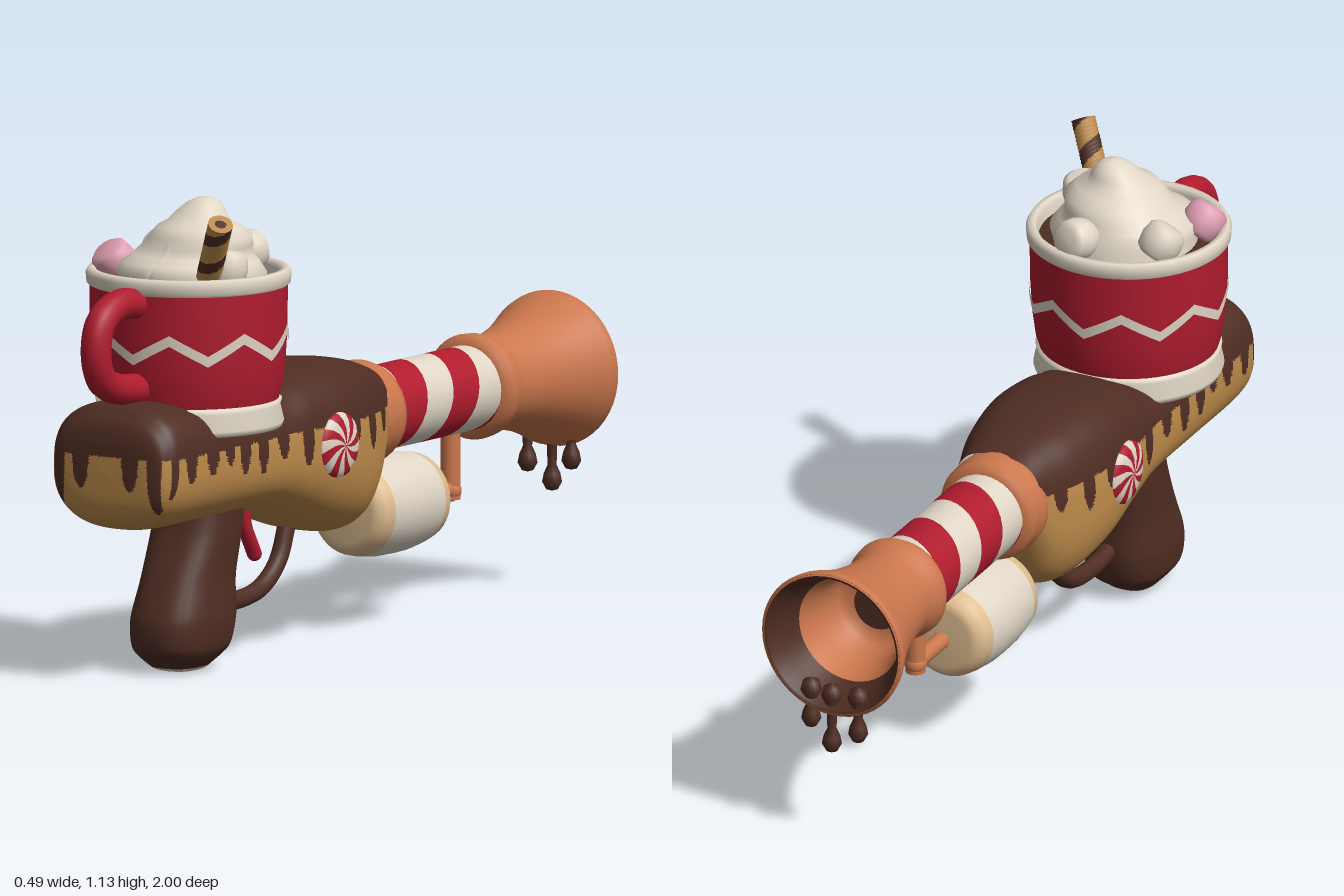
import * as THREE from 'three';

const material = (name, color) => Object.assign(new THREE.MeshStandardMaterial({ color }), { name });
const chocolate = material('chocolate', 0x4f2d23);
const biscuit = material('biscuit', 0xbc8a4a);
const red = material('candy red', 0xb01c2e);
const cream = material('cream', 0xe0d6c6);
const waffle = material('waffle', 0xcb774d);
const pink = material('pink', 0xdf9fb2);
const toasted = material('toasted', 0xdfbd90);

const TAU = Math.PI * 2;
const V = (x, y, z) => new THREE.Vector3(x, y, z);

function add(parent, name, geo, mat, x = 0, y = 0, z = 0) {
  const mesh = new THREE.Mesh(geo, mat);
  mesh.name = name;
  mesh.position.set(x, y, z);
  parent.add(mesh);
  return mesh;
}

// Smooth solid of revolution, profile given as [radius, height] from bottom to top
const lathe = (pts, seg = 40) => new THREE.LatheGeometry(pts.map(p => new THREE.Vector2(p[0], p[1])), seg);

// Same, but the profile runs from the body towards the muzzle (-z)
const barrelLathe = (pts, seg) => lathe(pts, seg).rotateX(-Math.PI / 2);

const tube = (pts, r, seg = 32) => new THREE.TubeGeometry(
  new THREE.CatmullRomCurve3(pts.map(p => V(...p))), seg, r, 14);

// Skin over closed rings; ring(i, angle) returns a point
function loft(rings, sides, ring) {
  const pos = [], idx = [];
  for (let i = 0; i < rings; i++) {
    for (let j = 0; j < sides; j++) {
      pos.push(...ring(i / (rings - 1), j / sides * TAU));
      if (i === rings - 1) continue;
      const a = i * sides + j, b = i * sides + (j + 1) % sides;
      idx.push(a, a + sides, b, b, a + sides, b + sides);
    }
  }
  const geo = new THREE.BufferGeometry();
  geo.setAttribute('position', new THREE.Float32BufferAttribute(pos, 3));
  geo.setIndex(idx);
  geo.computeVertexNormals();
  return geo;
}

// Sort faces into two material groups; test(centre, u) picks the second
function split(geo, test) {
  const idx = geo.index.array, p = geo.attributes.position, uv = geo.attributes.uv, sets = [[], []];
  for (let i = 0; i < idx.length; i += 3) {
    const t = [idx[i], idx[i + 1], idx[i + 2]], c = V(0, 0, 0);
    let u = 0;
    for (const k of t) {
      c.add(V(p.getX(k), p.getY(k), p.getZ(k)));
      if (uv) u += uv.getX(k) / 3;
    }
    sets[test(c.divideScalar(3), u) ? 1 : 0].push(...t);
  }
  geo.setIndex([...sets[0], ...sets[1]]);
  geo.clearGroups();
  geo.addGroup(0, sets[0].length, 0);
  geo.addGroup(sets[0].length, sets[1].length, 1);
  return geo;
}

// Turn every vertex about y by angle(y, radius)
function twist(geo, angle) {
  const p = geo.attributes.position;
  for (let i = 0; i < p.count; i++) {
    const x = p.getX(i), y = p.getY(i), z = p.getZ(i);
    const r = Math.hypot(x, z), a = Math.atan2(x, z) + angle(y, r);
    p.setXYZ(i, r * Math.sin(a), y, r * Math.cos(a));
  }
  geo.computeVertexNormals();
  return geo;
}

// Rounded-square outline point for an angle
function squircle(a, n) {
  const c = Math.cos(a), s = Math.sin(a);
  const r = Math.pow(Math.abs(c) ** n + Math.abs(s) ** n, -1 / n);
  return [c * r, s * r];
}

// Icing edge height; each drip is [place, half width, tip height]
const drips = [
  [1.0, .024, .475], [.935, .018, .42], [.885, .016, .46], [.82, .022, .49], [.73, .024, .5], [.655, .018, .515],
  [.59, .022, .485], [.51, .022, .475], [.42, .024, .5], [.32, .022, .47], [.23, .022, .5], [.12, .022, .5],
  [.03, .022, .475], [-.06, .02, .5],
];
function icingEdge(p) {
  const s = p.z > .89 ? .89 + .18 - Math.abs(p.x) : p.z;
  let y = .555;
  for (const [at, w, tip] of drips) {
    const d = Math.abs(s - at) / w;
    if (d < 1) y = Math.min(y, .555 - (.555 - tip) * Math.sqrt(1 - d * d));
  }
  return y;
}

function buildBody(g) {
  // Stations: z, top, bottom, half width
  const keys = [
    [.925, .515, .515, .001], [.92, .6, .43, .125], [.895, .65, .388, .165], [.83, .675, .37, .18],
    [.6, .66, .37, .18], [.4, .645, .365, .177], [.28, .675, .33, .183], [.15, .69, .285, .187],
    [.02, .68, .265, .168], [-.06, .665, .3, .14], [-.12, .645, .41, .115],
  ];
  const heights = new THREE.CatmullRomCurve3(keys.map(k => V(k[0], k[1], k[2])), false, 'catmullrom', .5);
  const widths = new THREE.CatmullRomCurve3(keys.map(k => V(k[0], k[3], 0)), false, 'catmullrom', .5);
  const body = loft(191, 160, (t, a) => {
    const h = heights.getPoint(t), w = widths.getPoint(t).y;
    const [x, y] = squircle(a, Math.sin(a) > 0 ? 2.8 : 2.5);
    return [x * w, (h.y + h.z) / 2 + y * (h.y - h.z) / 2, h.x];
  });
  add(g, 'icedBody', split(body, p => p.y > icingEdge(p)), [biscuit, chocolate]);

  // Grip stations: y, z front, z back, half width
  const grip = [[.42, .42, .61, .1], [.33, .43, .635, .1], [.22, .447, .69, .097], [.13, .45, .727, .105],
    [.06, .47, .725, .097], [.02, .52, .685, .065], [.005, .545, .655, .045], [.003, .6, .6, .001]];
  const spans = new THREE.CatmullRomCurve3(grip.map(k => V(k[0], k[1], k[2])), false, 'catmullrom', .4);
  const wide = new THREE.CatmullRomCurve3(grip.map(k => V(k[0], k[3], 0)), false, 'catmullrom', .4);
  const gripGeo = loft(50, 40, (t, a) => {
    const s = spans.getPoint(t), [x, z] = squircle(a, 2.6);
    return [x * wide.getPoint(t).y, Math.max(0, s.x), (s.y + s.z) / 2 - z * (s.z - s.y) / 2];
  });
  add(g, 'grip', split(gripGeo, p => p.y < .014), [chocolate, cream]);
  add(g, 'triggerGuard', tube([[0, .15, .48], [0, .138, .38], [0, .155, .26], [0, .21, .185], [0, .31, .14]], .022), chocolate);
  add(g, 'trigger', tube([[0, .38, .34], [0, .31, .325], [0, .265, .3], [0, .24, .285]], .018), red);
  add(g, 'triggerTip', new THREE.SphereGeometry(.018, 12, 8), red, 0, .24, .285);

  // Swirled peppermints on both sides
  for (const side of [1, -1]) {
    const dome = lathe([[.072, 0], [.079, .012], [.076, .022], [.06, .03], [.04, .034], [.02, .036], [0, .037]], 32);
    split(twist(dome, (y, r) => r * 7), (p, u) => Math.floor(u * 16) % 2);
    add(g, 'peppermint', dome.rotateZ(-side * Math.PI / 2), [cream, red], side * .166, .505, .195);
  }
}

function buildMug(g) {
  const mug = new THREE.Group();
  mug.name = 'mug';
  mug.position.z = .566;
  g.add(mug);
  add(mug, 'mugWall', lathe([[.212, .645], [.222, .68], [.23, .74], [.235, .82], [.236, .94]], 56), red);
  add(mug, 'mugBase', lathe([[0, .583], [.2, .583], [.222, .587], [.227, .6], [.218, .64], [.222, .652], [.205, .658]], 56), cream);
  add(mug, 'mugRim', lathe([[.234, .925], [.243, .932], [.245, .955], [.238, .967], [.225, .967], [.216, .955], [.213, .9]], 56), cream);
  add(mug, 'cocoa', new THREE.CircleGeometry(.216, 48).rotateX(-Math.PI / 2), chocolate, 0, .93, 0);

  // Zigzag band: an open ring moved up and down by a triangle wave
  const zigzag = new THREE.CylinderGeometry(.2385, .2375, .026, 128, 1, true);
  const p = zigzag.attributes.position, u = zigzag.attributes.uv;
  for (let i = 0; i < p.count; i++) {
    const wave = Math.abs((u.getX(i) * 8) % 1 - .5) * 2;
    p.setY(i, p.getY(i) + .822 - wave * .05);
  }
  add(mug, 'zigzagBand', zigzag, cream);
  add(mug, 'mugHandle', tube([[0, .905, .21], [0, .911, .31], [0, .875, .378], [0, .8, .395],
    [0, .74, .37], [0, .71, .3], [0, .7, .2]], .037, 40), red);

  // Whipped cream with a spiral ripple and leaning tip
  const whip = lathe([[.17, .92], [.178, .955], [.165, .985], [.142, 1.0], [.132, 1.02], [.122, 1.045], [.1, 1.067],
    [.075, 1.08], [.06, 1.1], [.04, 1.122], [.02, 1.132], [0, 1.135]], 48);
  const w = whip.attributes.position;
  for (let i = 0; i < w.count; i++) {
    const x = w.getX(i), y = w.getY(i), z = w.getZ(i);
    const k = 1 + .06 * Math.sin(Math.atan2(x, z) + y * 60);
    w.setXYZ(i, x * k + (y - .92) * .15, y, z * k - (y - .92) * .1);
  }
  whip.computeVertexNormals();
  add(mug, 'whippedCream', whip, cream);

  // Small marshmallows
  const puff = lathe([[0, -.042], [.033, -.041], [.047, -.03], [.052, 0], [.047, .03], [.033, .041], [0, .042]], 20);
  [[-.14, .99, -.106, cream], [.05, .985, -.175, cream], [.155, .985, .07, cream], [-.163, .975, .07, pink]]
    .forEach(([x, y, z, m], i) => add(mug, 'marshmallow', puff, m, x, y, z).rotation.set(.5 + i, i * .8, .4));

  // Striped wafer straw
  const straw = new THREE.Group();
  straw.name = 'waferStraw';
  const foot = V(.115, .93, .1), tip = V(.215, 1.11, .185), dir = tip.clone().sub(foot);
  straw.position.copy(foot).addScaledVector(dir, .5);
  straw.quaternion.setFromUnitVectors(V(0, 1, 0), dir.clone().normalize());
  const len = dir.length();
  const roll = twist(new THREE.CylinderGeometry(.03, .03, len, 24, 24, true), y => y * TAU / .09);
  add(straw, 'wafer', split(roll, (q, t) => t < .4), [biscuit, chocolate]);
  add(straw, 'waferEnd', new THREE.RingGeometry(.014, .03, 24).rotateX(-Math.PI / 2), biscuit, 0, len / 2, 0);
  add(straw, 'waferHole', new THREE.CircleGeometry(.016, 16).rotateX(-Math.PI / 2), chocolate, 0, len / 2 - .003, 0);
  mug.add(straw);
}

function buildBarrel(g) {
  const barrel = new THREE.Group();
  barrel.name = 'barrel';
  barrel.position.y = .522;
  g.add(barrel);

  // Candy cane tube
  const cane = twist(new THREE.CylinderGeometry(.102, .102, .46, 40, 60, true), y => TAU * (.06 - y) / .22);
  add(barrel, 'candyCane', split(cane, (p, u) => u < .5).rotateX(-Math.PI / 2), [cream, red], 0, 0, -.405);
  add(barrel, 'rearCollar', barrelLathe([[.09, .085], [.115, .09], [.126, .105], [.128, .13], [.122, .15],
    [.126, .17], [.12, .188], [.1, .193]]), waffle);
  add(barrel, 'muzzleBell', barrelLathe([[.1, .617], [.117, .622], [.127, .64], [.125, .665], [.115, .685], [.113, .71],
    [.122, .78], [.138, .85], [.162, .92], [.183, .97], [.187, .99], [.178, .995]], 48), waffle);
  add(barrel, 'muzzleIcing', barrelLathe([[.182, .993], [.172, .993], [.155, .95], [.134, .9]], 48), chocolate);
  add(barrel, 'muzzleInside', barrelLathe([[.134, .9], [.115, .84], [.1, .76], [.05, .755]], 48), waffle);
  add(barrel, 'muzzleHole', new THREE.CircleGeometry(.06, 24).rotateY(Math.PI), chocolate, 0, 0, -.757);

  // Icing drops hanging from the lip: x, top, length
  for (const [x, top, len] of [[.01, .365, .135], [.065, .37, .085], [-.06, .37, .1]]) {
    const drop = lathe([[0, -len], [.014, -len + .004], [.024, -len + .022], [.02, -len + .042],
      [.011, -len + .062], [.013, -.012], [.026, .012], [.02, .035], [0, .045]], 16);
    add(g, 'icingDrop', drop, chocolate, x, top, -.972);
  }
}

function buildTank(g) {
  // Toasted marshmallow tank and its feed pipe
  const tank = new THREE.Group();
  tank.name = 'marshmallowTank';
  tank.position.set(0, .29, -.258);
  g.add(tank);
  add(tank, 'tankMiddle', barrelLathe([[.113, -.107], [.12, -.05], [.121, 0], [.12, .05], [.113, .107]]), cream);
  const end = [[.113, .107], [.107, .135], [.094, .153], [.075, .159], [0, .16]];
  add(tank, 'tankEnd', barrelLathe(end), toasted);
  add(tank, 'tankEnd', barrelLathe(end).rotateY(Math.PI), toasted);
  add(g, 'feedPipe', new THREE.CylinderGeometry(.021, .021, .6, 16).rotateX(Math.PI / 2), waffle, 0, .287, -.255);
  add(g, 'feedRiser', new THREE.CylinderGeometry(.024, .024, .18, 16), waffle, 0, .353, -.553);
  add(g, 'feedElbow', new THREE.SphereGeometry(.027, 16, 12), waffle, 0, .284, -.553);
}

export function createModel() {
  const g = new THREE.Group();
  g.name = 'cocoaBlaster';
  buildBody(g);
  buildMug(g);
  buildBarrel(g);
  buildTank(g);
  return g;
}
